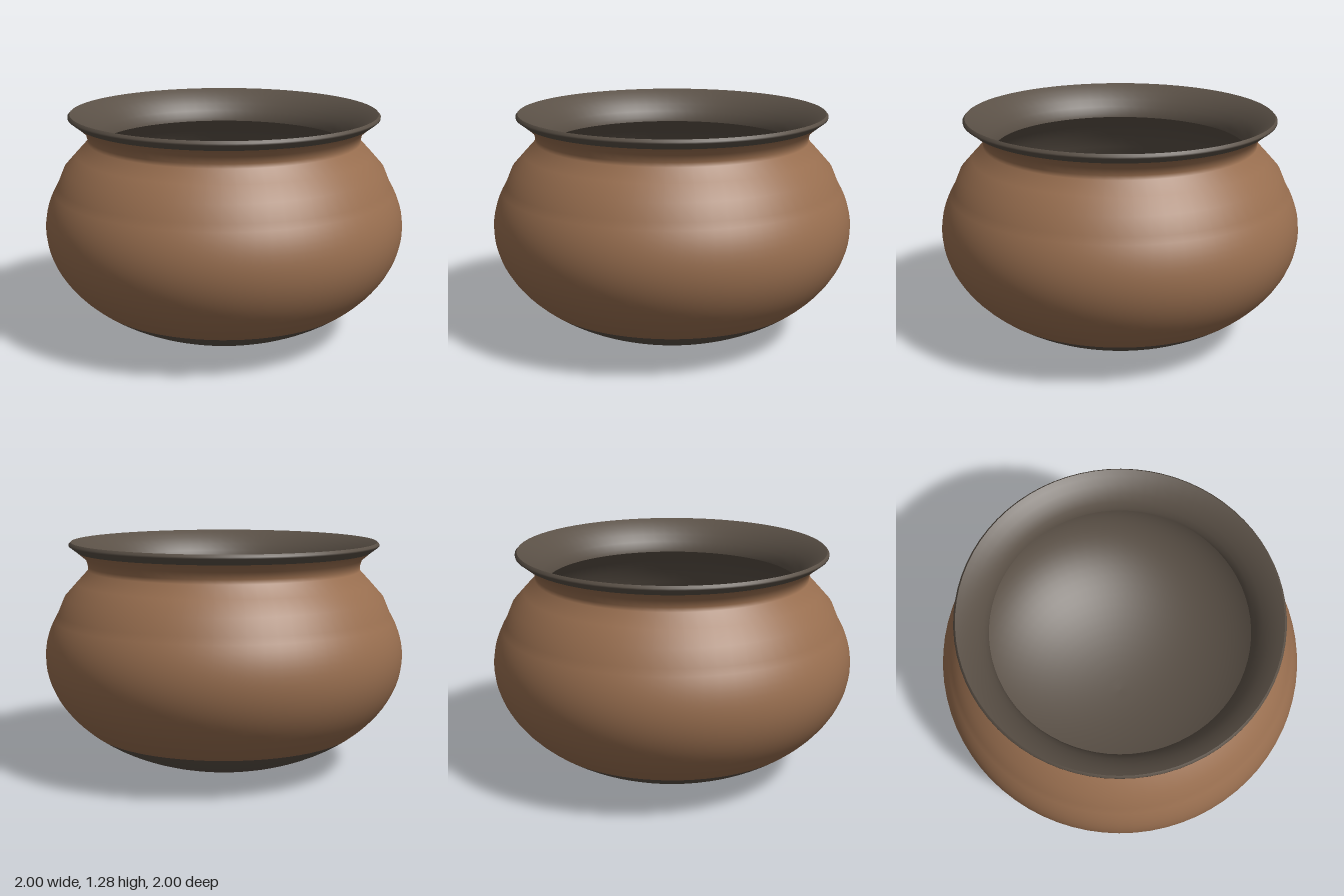
import * as THREE from 'three';

const SEGMENTS = 72;
const BELLY_Y = 0.65;

const clay = new THREE.MeshStandardMaterial({ color: 0x986e4f });
clay.name = 'clay';
const soot = new THREE.MeshStandardMaterial({ color: 0x5a5046 });
soot.name = 'soot';

// Points on the elliptical belly between two angles (-90 degrees is the lowest point).
function bellyArc(rx, ry, fromDeg, toDeg, steps) {
  return Array.from({ length: steps + 1 }, (_, k) => {
    const a = THREE.MathUtils.degToRad(fromDeg + ((toDeg - fromDeg) * k) / steps);
    return new THREE.Vector2(Math.max(0, rx * Math.cos(a)), BELLY_Y + ry * Math.sin(a));
  });
}

const toPoints = (pairs) => pairs.map(([x, y]) => new THREE.Vector2(x, y));

// Cuts rows [from, to] out of a lathe, keeping its smooth normals across the cuts.
function latheBand(lathe, count, from, to, material, name) {
  const index = [];
  for (let s = 0; s < SEGMENTS; s++) {
    for (let r = from; r < to; r++) {
      const a = s * count + r, b = a + count;
      index.push(a, b, a + 1, b + 1, a + 1, b);
    }
  }
  const geometry = lathe.clone();
  geometry.setIndex(index);
  const mesh = new THREE.Mesh(geometry, material);
  mesh.name = name;
  return mesh;
}

export function createModel() {
  const pot = new THREE.Group();
  pot.name = 'cookingPot';

  // Outer wall: round base, belly, shoulder, neck and flared lip
  const seamAngle = -41.8;
  const base = bellyArc(1, 0.645, -90, seamAngle, 14);
  const belly = bellyArc(1, 0.645, seamAngle, 22, 18).slice(1);
  const shoulder = toPoints([
    [0.89, 0.98], [0.82, 1.058], [0.757, 1.126], [0.757, 1.15], [0.767, 1.187], [0.815, 1.228],
  ]);
  const lip = toPoints([[0.86, 1.262], [0.861, 1.272], [0.85, 1.284]]);
  const outer = [...base, ...belly, ...shoulder, ...lip];
  const outerLathe = new THREE.LatheGeometry(outer, SEGMENTS);
  const baseEnd = base.length - 1;
  const clayEnd = outer.length - lip.length - 1;
  pot.add(latheBand(outerLathe, outer.length, 0, baseEnd, soot, 'sootyBase'));
  pot.add(latheBand(outerLathe, outer.length, baseEnd, clayEnd, clay, 'clayBody'));
  pot.add(latheBand(outerLathe, outer.length, clayEnd, outer.length - 1, soot, 'rimEdge'));

  // Inside: curved mouth down to the throat
  const mouth = toPoints([
    [0.85, 1.284], [0.82, 1.268], [0.782, 1.24], [0.745, 1.205], [0.715, 1.165], [0.699, 1.128], [0.695, 1.105],
  ]);
  const mouthMesh = new THREE.Mesh(new THREE.LatheGeometry(mouth, SEGMENTS), soot);
  mouthMesh.name = 'innerRim';
  pot.add(mouthMesh);

  // Inside: hollow belly below the throat
  const hollow = [
    ...toPoints([[0.695, 1.105], [0.77, 1.03], [0.835, 0.955]]),
    ...bellyArc(0.94, 0.59, 22, -90, 26),
  ];
  const hollowMesh = new THREE.Mesh(new THREE.LatheGeometry(hollow, SEGMENTS), soot);
  hollowMesh.name = 'interior';
  pot.add(hollowMesh);

  return pot;
}
